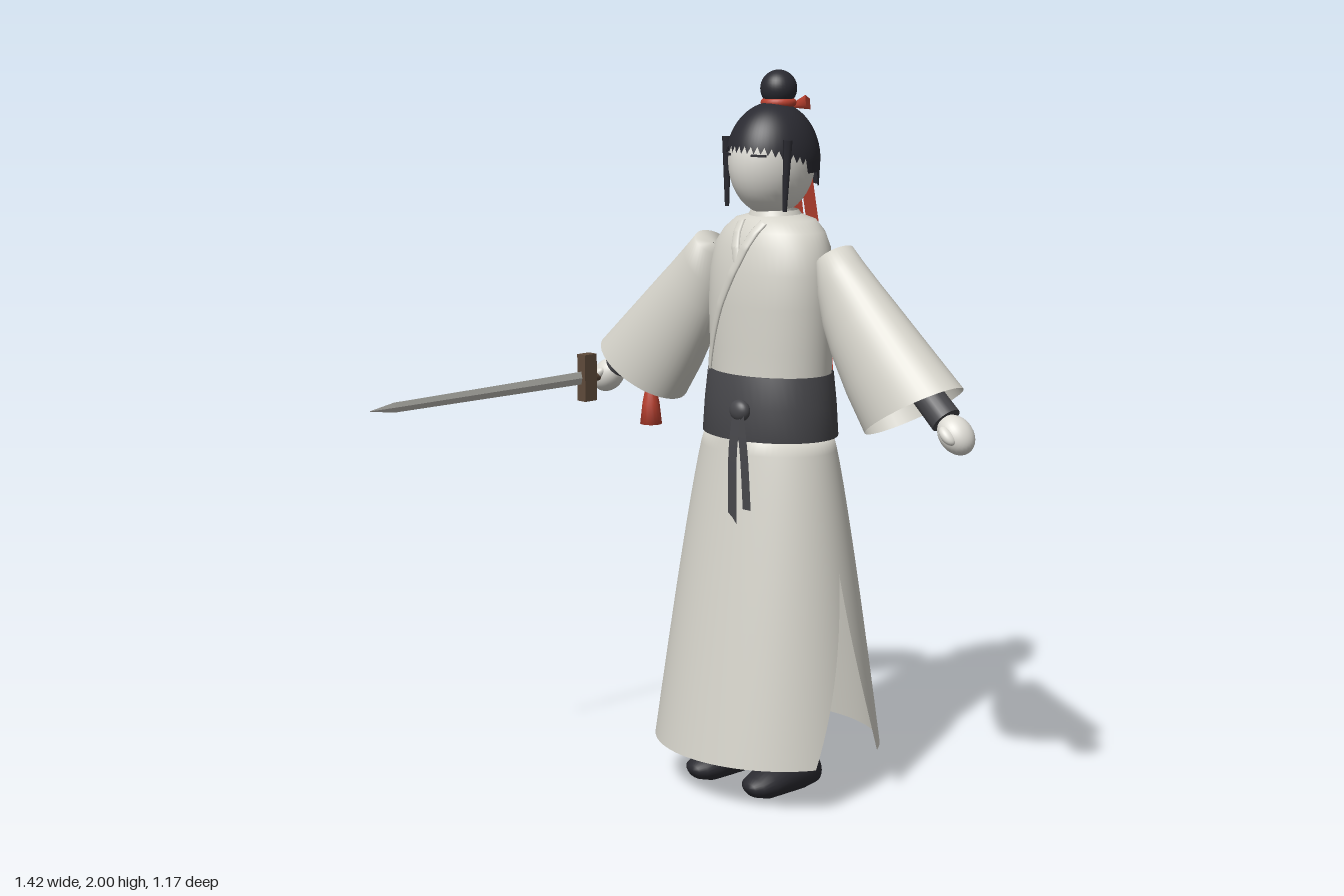
import * as THREE from 'three';
import { ParametricGeometry } from 'three/addons/geometries/ParametricGeometry.js';

const V = (x, y, z) => new THREE.Vector3(x, y, z);
const CZ = -0.295; // depth of the body axis

function makeMaterial(name, color) {
  const m = new THREE.MeshStandardMaterial({ color, side: THREE.DoubleSide });
  m.name = name;
  return m;
}

// Loft through elliptical rings { c, u, v }: centre and two half-axes
function loft(rings, seg = 32) {
  const pos = [], idx = [];
  const travel = rings[rings.length - 1].c.clone().sub(rings[0].c);
  const mid = rings[rings.length >> 1];
  const sign = mid.u.clone().cross(mid.v).dot(travel) < 0 ? -1 : 1;
  rings.forEach(({ c, u, v }, i) => {
    for (let j = 0; j < seg; j++) {
      const a = (j / seg) * Math.PI * 2;
      const p = c.clone().addScaledVector(u, Math.cos(a)).addScaledVector(v, sign * Math.sin(a));
      pos.push(p.x, p.y, p.z);
      if (i === 0) continue;
      const k = (j + 1) % seg, lo = (i - 1) * seg, hi = i * seg;
      idx.push(lo + j, lo + k, hi + j, lo + k, hi + k, hi + j);
    }
  });
  const g = new THREE.BufferGeometry();
  g.setAttribute('position', new THREE.Float32BufferAttribute(pos, 3));
  g.setIndex(idx);
  g.computeVertexNormals();
  return g;
}

// Upright loft from rows of [y, half width, half depth, z]
const upright = (rows) => loft(rows.map(([y, rx, rz, z]) => ({ c: V(0, y, z), u: V(0, 0, rz), v: V(rx, 0, 0) })), 48);

// Flat strip along a curve, widening in x; the tip can be pointed
function strip(points, width, pointed) {
  const curve = new THREE.CatmullRomCurve3(points);
  return new ParametricGeometry((u, v, t) => {
    t.copy(curve.getPoint(Math.min(1, Math.max(0, u))));
    const taper = pointed && u > 0.93 ? (1 - u) / 0.07 : 1;
    t.x += (v - 0.5) * width * Math.max(0.02, taper);
  }, 30, 4);
}

// Tapered cylinder between two points
function limb(a, b, ra, rb, seg = 20) {
  const d = b.clone().sub(a);
  const g = new THREE.CylinderGeometry(rb, ra, d.length(), seg);
  g.applyQuaternion(new THREE.Quaternion().setFromUnitVectors(V(0, 1, 0), d.normalize()));
  return g.translate((a.x + b.x) / 2, (a.y + b.y) / 2, (a.z + b.z) / 2);
}

const ball = (x, y, z, rx, ry, rz) => new THREE.SphereGeometry(1, 32, 20).scale(rx, ry, rz).translate(x, y, z);

const TORSO = [
  [1.15, 0.186, 0.143, CZ], [1.25, 0.191, 0.139, CZ], [1.37, 0.196, 0.137, -0.293],
  [1.46, 0.195, 0.132, -0.295], [1.53, 0.184, 0.122, -0.3], [1.57, 0.158, 0.111, -0.307],
  [1.6, 0.122, 0.094, -0.312], [1.615, 0.065, 0.062, -0.312],
];

// Depth of the chest surface at x, y
function chestZ(x, y) {
  let i = 0;
  while (i < TORSO.length - 2 && y > TORSO[i + 1][0]) i++;
  const a = TORSO[i], b = TORSO[i + 1], t = (y - a[0]) / (b[0] - a[0]);
  const [, rx, rz, z] = a.map((n, k) => n + (b[k] - n) * t);
  return z + rz * Math.sqrt(Math.max(0, 1 - (x / rx) ** 2));
}

// Lapel lying on the chest
function lapel(points, width) {
  const curve = new THREE.CatmullRomCurve3(points.map(([x, y]) => V(x, y, 0)));
  return new ParametricGeometry((u, v, t) => {
    const p = curve.getPoint(Math.min(1, Math.max(0, u)));
    const d = curve.getTangent(Math.min(1, Math.max(0, u)));
    const w = (v - 0.5) * width;
    const x = p.x - d.y * w, y = p.y + d.x * w;
    t.set(x, y, chestZ(x, y) + 0.002 + 0.007 * Math.sqrt(Math.max(0, 1 - (2 * v - 1) ** 2)));
  }, 32, 8);
}

export function createModel() {
  const model = new THREE.Group();
  const cloth = makeMaterial('robe cloth', 0xd5d3ca);
  const skin = makeMaterial('skin', 0xdedcd5);
  const black = makeMaterial('hair black', 0x2a2a31);
  const boot = makeMaterial('boot leather', 0x2b2b31);
  const sash = makeMaterial('sash grey', 0x47474b);
  const red = makeMaterial('ribbon red', 0xb8402f);
  const wood = makeMaterial('hilt brown', 0x5e4a3a);
  const steel = makeMaterial('blade steel', 0xb4b3ad);
  const add = (name, geo, mat, parent = model) => {
    const m = new THREE.Mesh(geo, mat);
    m.name = name;
    parent.add(m);
    return m;
  };

  // Robe body, collar and lapels
  add('torso', upright(TORSO), cloth);
  add('neck', limb(V(0, 1.57, -0.305), V(0, 1.68, -0.305), 0.055, 0.052), skin);
  add('collar', upright([[1.59, 0.085, 0.08, -0.31], [1.61, 0.075, 0.072, -0.31], [1.625, 0.066, 0.064, -0.308]]), cloth);
  add('innerLapel', lapel([[-0.04, 1.598], [-0.028, 1.55], [-0.005, 1.49]], 0.03), cloth);
  add('outerLapel', lapel([[0.042, 1.598], [0, 1.5], [-0.07, 1.36], [-0.115, 1.25], [-0.14, 1.16]], 0.03), cloth);

  // Skirt panels, parting at the sides toward the hem
  for (const s of [1, -1]) {
    add(s > 0 ? 'frontSkirt' : 'backSkirt', new ParametricGeometry((u, v, t) => {
      const k = Math.max(0, v);
      const a = (u * 2 - 1) * THREE.MathUtils.degToRad(95 - 30 * k * k);
      const rx = 0.197 + 0.139 * Math.pow(k, 0.75), rz = 0.155 + 0.142 * k;
      t.set(rx * Math.sin(a), 1.01 - 0.88 * k, -0.289 + s * rz * Math.cos(a));
    }, 40, 24), cloth);
  }

  // Waist sash with its knot and tails
  add('waistSash', upright([
    [1.185, 0.183, 0.14, CZ], [1.185, 0.192, 0.15, CZ], [1.1, 0.2, 0.16, CZ],
    [1.01, 0.206, 0.165, CZ], [1.01, 0.19, 0.15, CZ],
  ].reverse()), sash);
  add('sashKnot', ball(0.045, 1.095, -0.128, 0.033, 0.03, 0.022), sash);
  add('longTail', strip([V(0.045, 1.09, -0.115), V(0.04, 0.98, -0.106), V(0.043, 0.76, -0.103)], 0.032), sash);
  add('shortTail', strip([V(0.055, 1.09, -0.117), V(0.078, 0.98, -0.11), V(0.092, 0.83, -0.108)], 0.03), sash);

  // Head
  add('head', ball(0, 1.757, CZ, 0.108, 0.148, 0.13), skin);
  add('hair', new ParametricGeometry((u, v, t) => {
    const a = u * Math.PI * 2, c = Math.cos(a), k = Math.round(u * 80);
    let low = 1.728;
    if (c > 0) low = 1.768 + 0.034 * Math.min(1, c * 1.15) - (k % 2) * 0.02;
    else if (c < -0.5) low = 1.69;
    const y = 1.915 - (1.915 - low) * v * v - 0.0001;
    const r = y > 1.76 ? Math.sqrt(Math.max(0, 1 - ((y - 1.76) / 0.155) ** 2)) : 1 - (1.76 - y) * 0.4;
    t.set(0.121 * r * Math.sin(a), y, -0.3 + 0.136 * r * c);
  }, 80, 24), black);
  add('hairBun', ball(0, 1.95, -0.32, 0.05, 0.05, 0.05), black);
  add('bunTie', new THREE.TorusGeometry(0.037, 0.012, 10, 28).rotateX(Math.PI / 2).translate(0, 1.912, -0.32), red);

  for (const s of [1, -1]) {
    const side = s > 0 ? 'left' : 'right';
    add(side + 'Eye', new THREE.BoxGeometry(0.042, 0.006, 0.008).rotateY(s * 0.45).translate(s * 0.058, 1.778, -0.183), black);
    add(side + 'SideLock', limb(V(s * 0.108, 1.63, -0.232), V(s * 0.114, 1.82, -0.236), 0.006, 0.013, 6), black);
    add(side + 'Bow', limb(V(s * 0.048, 1.912, -0.385), V(0, 1.9, -0.365), 0.022, 0.004, 4), red);
    add(side + 'Ribbon', strip([V(s * 0.024, 1.72, -0.405), V(s * 0.03, 1.5, -0.444),
      V(s * 0.042, 1.28, -0.466), V(s * 0.056, 1.075, -0.476)], 0.046, true), red);

    // Flared sleeve: top edge, bottom edge and half depth per ring
    const rows = [
      [0.23, 1.517, 0.225, 1.513, 0.002], [0.268, 1.547, 0.19, 1.485, 0.06], [0.31, 1.51, 0.197, 1.39, 0.07],
      [0.365, 1.461, 0.217, 1.315, 0.079], [0.42, 1.413, 0.25, 1.245, 0.088], [0.53, 1.316, 0.309, 1.145, 0.101],
      [0.65, 1.21, 0.375, 1.053, 0.114],
    ];
    add(side + 'Sleeve', loft(rows.map(([tx, ty, bx, by, w]) => ({
      c: V(s * (tx + bx) / 2, (ty + by) / 2, -0.3),
      u: V(s * (tx - bx) / 2, (ty - by) / 2, 0),
      v: V(0, 0, w),
    })), 40), cloth);

    // Forearm and hand
    add(side + 'Forearm', limb(V(s * 0.3, 1.41, -0.3), V(s * 0.622, 1.122, -0.3), 0.036, 0.042), sash);
    const hand = new THREE.Group();
    hand.name = side + 'Hand';
    hand.position.set(s * 0.66, 1.09, -0.295);
    hand.rotation.z = -s * 0.75;
    model.add(hand);
    add('palm', ball(0, 0, 0, 0.058, 0.044, 0.045), skin, hand);
    add('thumb', ball(0, 0.004, 0.038, 0.03, 0.016, 0.02), skin, hand);

    // Legs and boots
    const x = s * 0.11;
    add(side + 'Trouser', limb(V(x, 0.38, -0.293), V(x * 0.85, 1.03, -0.293), 0.054, 0.068), cloth);
    add(side + 'BootShaft', limb(V(x, 0.06, -0.3), V(x, 0.4, -0.291), 0.053, 0.061, 24), boot);
    const foot = [
      [-0.356, 0.05, 0.003, 0.003], [-0.352, 0.05, 0.045, 0.046], [-0.3, 0.053, 0.056, 0.053], [-0.22, 0.054, 0.06, 0.052],
      [-0.16, 0.046, 0.057, 0.042], [-0.12, 0.044, 0.044, 0.028], [-0.104, 0.044, 0.024, 0.014], [-0.101, 0.044, 0.002, 0.002],
    ];
    add(side + 'Foot', loft(foot.map(([z, y, rx, ry]) => ({ c: V(x, y, z), u: V(rx, 0, 0), v: V(0, ry, 0) })), 24), boot);
  }

  // Sword held forward in the right hand
  const sword = new THREE.Group();
  sword.name = 'sword';
  sword.position.set(-0.66, 1.092, 0);
  model.add(sword);
  const faceted = (g) => { const f = g.toNonIndexed(); f.computeVertexNormals(); return f; };
  add('blade', faceted(new THREE.CylinderGeometry(0.014, 0.019, 0.69, 4).rotateX(Math.PI / 2).scale(0.25, 1, 1).translate(0, 0, 0.155)), steel, sword);
  add('bladeTip', faceted(new THREE.ConeGeometry(0.014, 0.086, 4).rotateX(Math.PI / 2).scale(0.25, 1, 1).translate(0, 0, 0.543)), steel, sword);
  add('guard', new THREE.BoxGeometry(0.034, 0.138, 0.046).translate(0, 0, -0.21), wood, sword);
  add('grip', limb(V(0, 0, -0.44), V(0, 0, -0.2), 0.015, 0.015), wood, sword);
  add('pommel', ball(0, 0, -0.447, 0.024, 0.024, 0.022), wood, sword);
  add('tasselCord', limb(V(0, -0.08, -0.468), V(0, 0.008, -0.468), 0.005, 0.005, 8), red, sword);
  add('tassel', new THREE.LatheGeometry([[0.001, -0.172], [0.033, -0.172], [0.026, -0.11], [0.018, -0.07], [0.012, -0.058], [0.001, -0.054]]
    .map(([r, y]) => new THREE.Vector2(r, y)), 16).translate(0, 0, -0.468), red, sword);

  return model;
}
